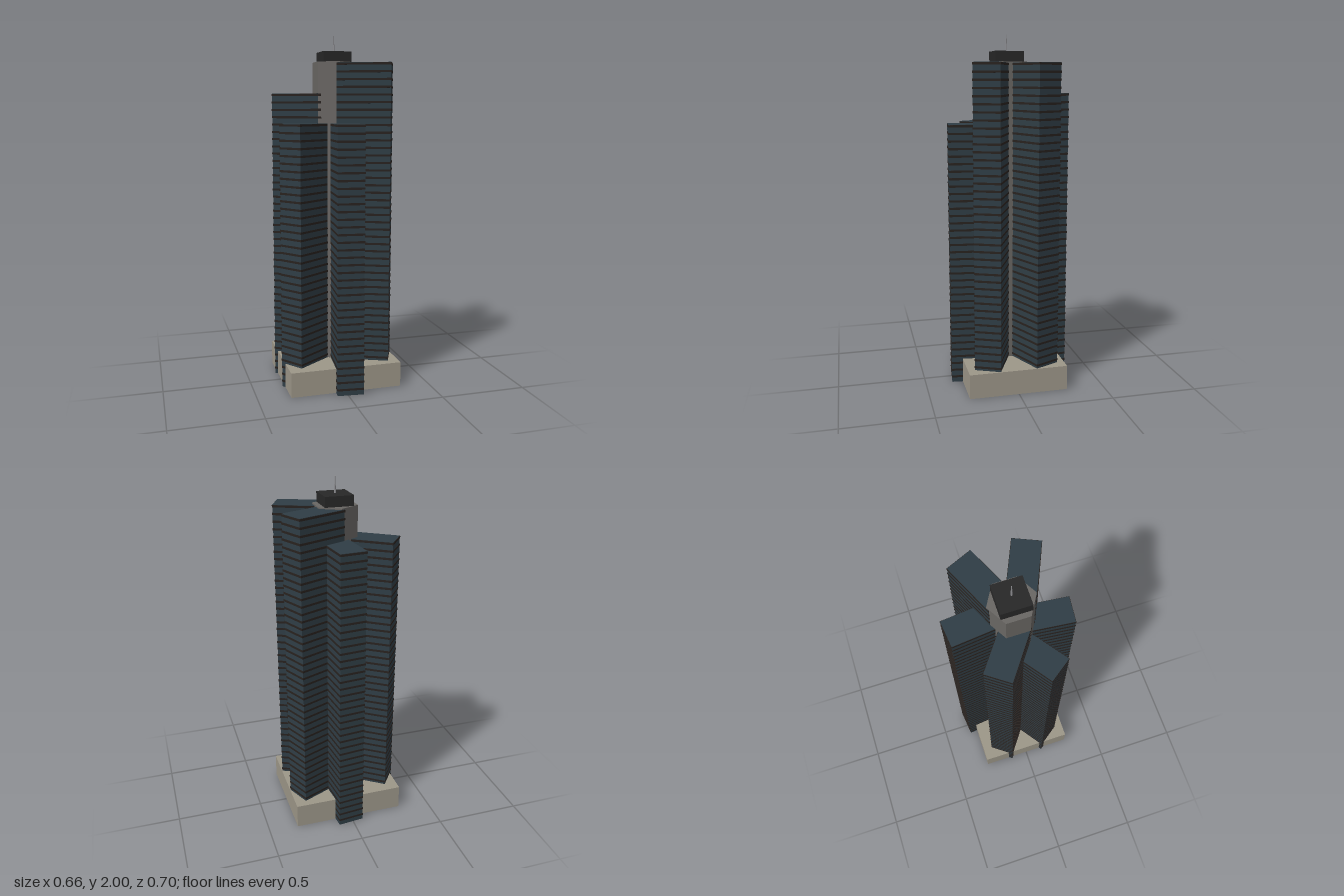
import * as THREE from 'three';

const FLOOR = 0.04195;
const WING_W = 0.149, WING_L = 0.301;

const mat = (color) => new THREE.MeshStandardMaterial({ color, flatShading: true });

function add(parent, name, geometry, material, x, y, z) {
  const mesh = new THREE.Mesh(geometry, material);
  mesh.name = name;
  mesh.position.set(x, y, z);
  parent.add(mesh);
  return mesh;
}

export function createModel() {
  const model = new THREE.Group();
  model.name = 'skyscraper';

  const glass = mat(0x2f3d45), slab = mat(0x28221f), stone = mat(0x9c9688);
  const concrete = mat(0x696663), dark = mat(0x272727), metal = mat(0x8c8c90);
  const cx = 0.008;

  // Podium, central core and rooftop
  add(model, 'podium', new THREE.BoxGeometry(0.646, 0.142, 0.566), stone, cx, 0.071, 0);
  add(model, 'core', new THREE.CylinderGeometry(0.126, 0.126, 1.75, 6), concrete, cx + 0.001, 0.978, 0);
  add(model, 'plantRoom', new THREE.BoxGeometry(0.161, 0.058, 0.161), dark, cx, 1.881, 0);
  add(model, 'spire', new THREE.CylinderGeometry(0.002, 0.006, 0.092, 6), metal, cx, 1.954, 0);

  // A wing: glass shaft banded by a thin projecting slab on every floor
  const slabGeo = new THREE.BoxGeometry(WING_W + 0.004, 0.012, WING_L + 0.004);
  function addWing(name, x, z, angle, floors) {
    const wing = new THREE.Group();
    wing.name = name;
    wing.position.set(x, 0.0005, z);
    wing.rotation.y = angle;
    const h = floors * FLOOR;
    add(wing, 'glassShaft', new THREE.BoxGeometry(WING_W, h, WING_L), glass, 0, h / 2, 0);
    for (let i = 1; i <= floors; i++) {
      add(wing, 'floorSlab', slabGeo, slab, 0, i * FLOOR - 0.008, 0);
    }
    model.add(wing);
  }

  // Six wings, mirrored front to back; dx, dz is the outward direction
  const wings = [
    { side: 'Right', x: 0.16, z: 0.1125, dx: 0.914, dz: 0.405, front: 44, back: 44 },
    { side: 'Middle', x: 0.029, z: 0.188, dx: -0.104, dz: 0.995, front: 36, back: 40 },
    { side: 'Left', x: -0.164, z: 0.0775, dx: -0.81, dz: 0.588, front: 36, back: 40 },
  ];
  for (const w of wings) {
    addWing('frontWing' + w.side, w.x, w.z, Math.atan2(w.dx, w.dz), w.front);
    addWing('backWing' + w.side, w.x, -w.z, Math.atan2(w.dx, -w.dz), w.back);
  }

  return model;
}
